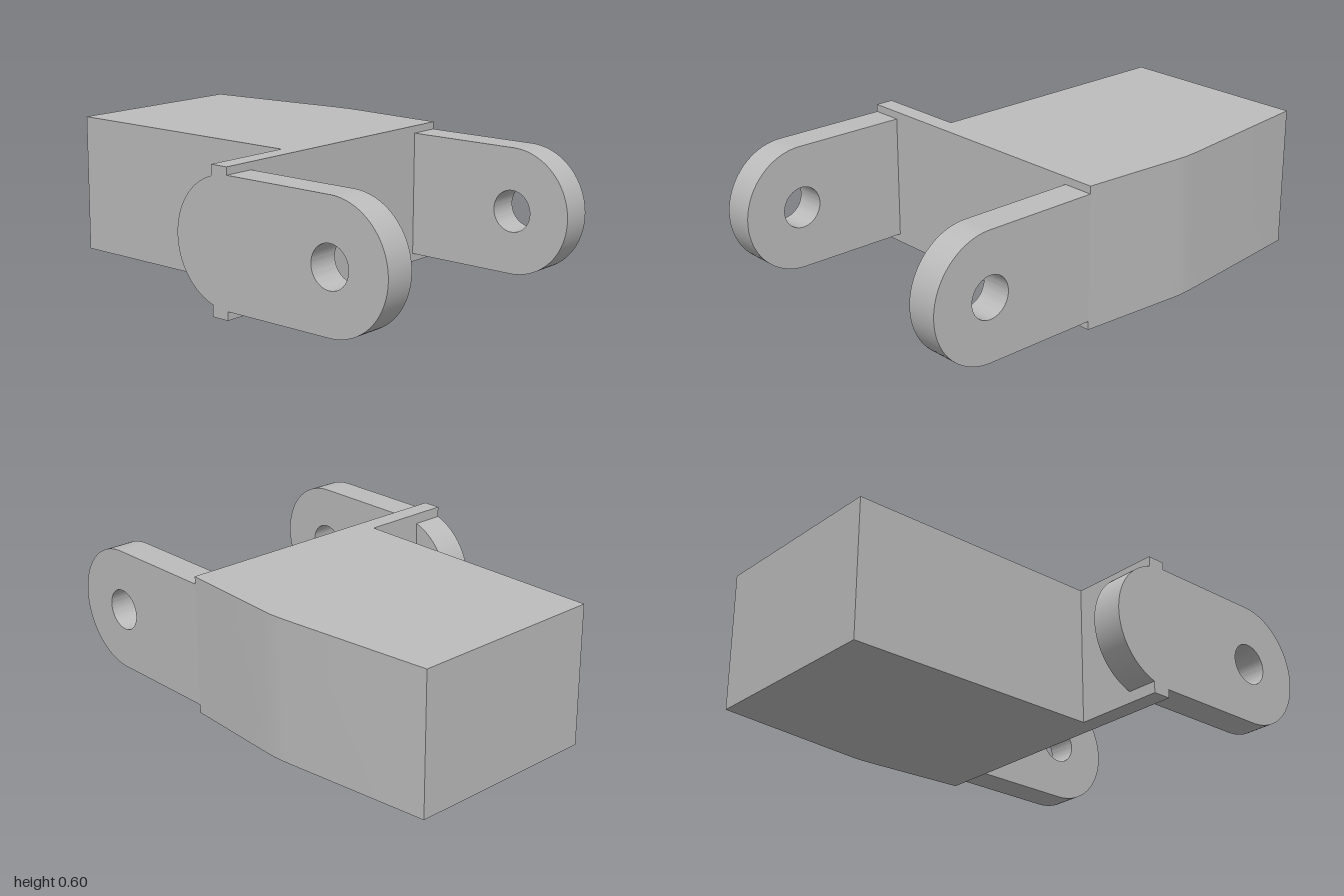
import * as THREE from 'three';
import { toCreasedNormals } from 'three/addons/utils/BufferGeometryUtils.js';

const HEIGHT = 0.6;
const FRONT = 0.23;      // z of the front face of the mounting plate
const ARM_WIDTH = 0.135;
const ARM_R = 0.266;     // radius of the rounded arm ends
const ARM_Y = 0.302;
const PIN_Z = 0.734;     // z of the pin hole

// Lug drawn in (-z, y) and extruded along x, with a pin hole through it
function armGeometry(roundBack) {
  const s = new THREE.Shape();
  s.moveTo(-FRONT, ARM_Y + ARM_R);
  s.lineTo(-PIN_Z, ARM_Y + ARM_R);
  s.absarc(-PIN_Z, ARM_Y, ARM_R, Math.PI / 2, Math.PI * 1.5, false);
  s.lineTo(-FRONT, ARM_Y - ARM_R);
  if (roundBack) s.absarc(-FRONT, ARM_Y, ARM_R, -Math.PI / 2, Math.PI / 2, false);
  else s.closePath();
  const hole = new THREE.Path();
  hole.absarc(-PIN_Z, ARM_Y, 0.088, 0, Math.PI * 2, true);
  s.holes.push(hole);
  const g = new THREE.ExtrudeGeometry(s, { depth: ARM_WIDTH, bevelEnabled: false, curveSegments: 32 });
  g.rotateY(Math.PI / 2);
  return toCreasedNormals(g, 0.5);
}

export function createModel() {
  const model = new THREE.Group();
  model.name = 'hingeBracket';
  const grey = new THREE.MeshStandardMaterial({ color: 0xbcbcbc });
  grey.name = 'plain grey';

  const add = (name, geometry, x = 0) => {
    const mesh = new THREE.Mesh(geometry, grey);
    mesh.name = name;
    mesh.position.x = x;
    model.add(mesh);
  };

  // Block and side flange: plan outline as (x, z), extruded upward
  const plan = [
    [-0.667, 0.23], [0.633, 0.23], [0.659, -0.2], [0.662, -0.265], [0.658, -0.33],
    [0.58, -1], [-0.27, -1], [-0.27, 0.15], [-0.667, 0.15],
  ];
  const outline = new THREE.Shape(plan.map(([x, z]) => new THREE.Vector2(x, -z)));
  const body = new THREE.ExtrudeGeometry(outline, { depth: HEIGHT, bevelEnabled: false });
  body.rotateX(-Math.PI / 2);
  add('bodyAndFlange', toCreasedNormals(body, 0.12));

  // Right arm passes through the flange and ends in a round; left arm meets the block
  add('rightArm', armGeometry(true), -0.667);
  add('leftArm', armGeometry(false), 0.633 - ARM_WIDTH);

  return model;
}
